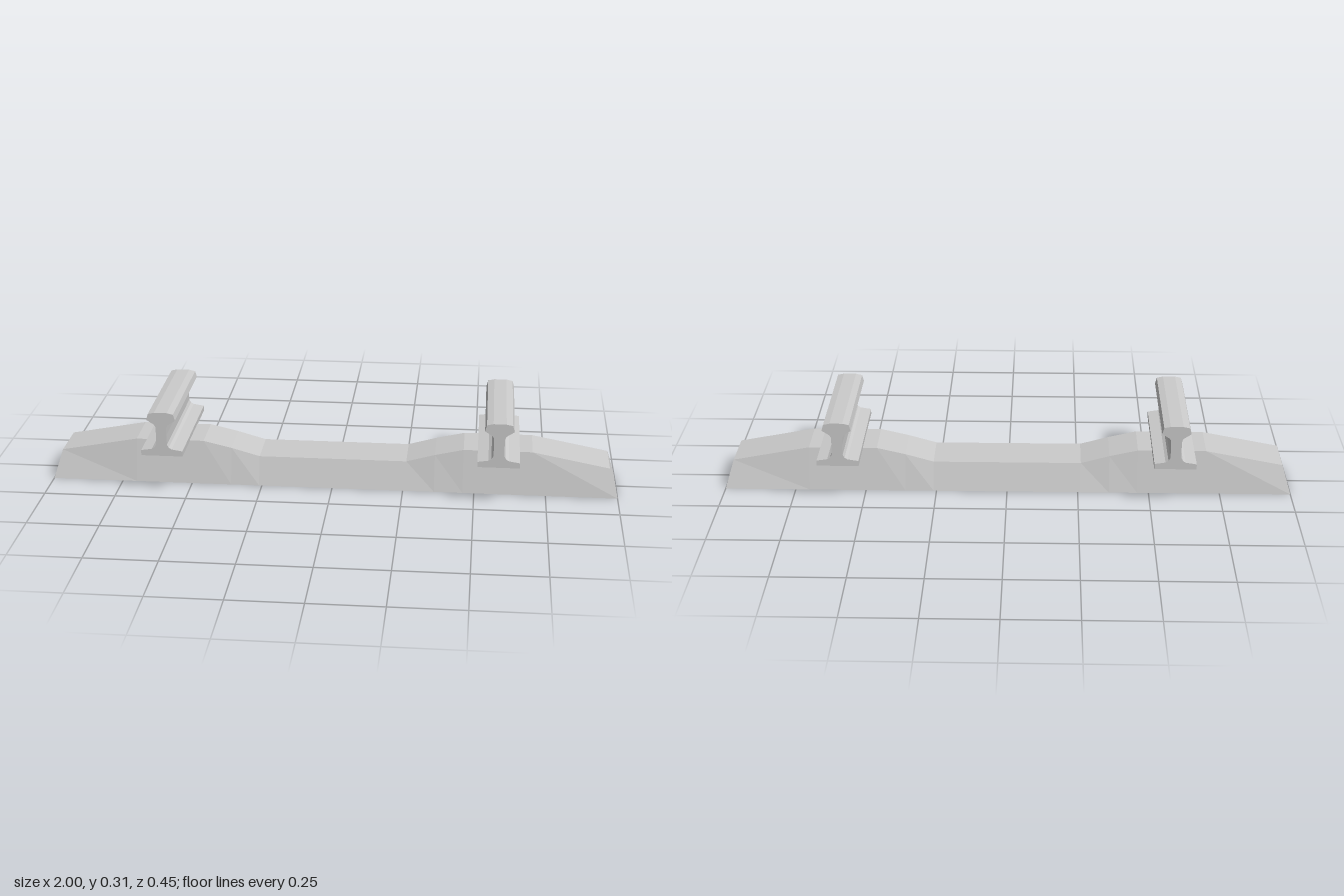
import * as THREE from 'three';

const material = new THREE.MeshStandardMaterial({ color: 0xcccccc, flatShading: true, side: THREE.DoubleSide });

// Tapered sleeper: four-cornered sections joined along x
function sleeperGeometry() {
  const half = [[0.26, 0.1], [0.36, 0.128], [0.46, 0.151], [0.7, 0.151], [0.97, 0.1]];
  const profile = [...half.map(([x, y]) => [-x, y]).reverse(), ...half];
  const last = profile.length - 1;
  const positions = [], index = [];
  profile.forEach(([x, y], i) => {
    const foot = i === 0 || i === last ? Math.sign(x) : x; // sloped end faces
    positions.push(foot, 0, 0.112, foot, 0, -0.112, x, y, -0.082, x, y, 0.082);
  });
  for (let i = 0; i < last; i++) {
    for (let k = 0; k < 4; k++) {
      const a = i * 4 + k, b = i * 4 + (k + 1) % 4;
      index.push(a, b, b + 4, a, b + 4, a + 4);
    }
  }
  // End caps
  const e = last * 4;
  index.push(0, 3, 2, 0, 2, 1, e, e + 1, e + 2, e, e + 2, e + 3);
  const geometry = new THREE.BufferGeometry();
  geometry.setAttribute('position', new THREE.Float32BufferAttribute(positions, 3));
  geometry.setIndex(index);
  const flat = geometry.toNonIndexed();
  flat.computeVertexNormals();
  return flat;
}

// Rail: mirrored half profile of foot, web and head, extruded along z
function railGeometry() {
  const half = [
    [0.0725, 0.148], [0.0725, 0.167], [0.035, 0.173], [0.025, 0.179], [0.019, 0.19],
    [0.018, 0.225], [0.019, 0.255], [0.024, 0.263], [0.05, 0.28], [0.044, 0.302], [0.022, 0.307],
  ];
  const outline = [...half, ...half.map(([x, y]) => [-x, y]).reverse()];
  const shape = new THREE.Shape(outline.map(([x, y]) => new THREE.Vector2(x, y)));
  const depth = 0.452;
  return new THREE.ExtrudeGeometry(shape, { depth, bevelEnabled: false }).translate(0, 0, -depth / 2);
}

export function createModel() {
  const model = new THREE.Group();
  model.name = 'railwayTrackSection';

  const sleeper = new THREE.Mesh(sleeperGeometry(), material);
  sleeper.name = 'sleeper';
  model.add(sleeper);

  const geometry = railGeometry();
  for (const [name, side] of [['leftRail', 1], ['rightRail', -1]]) {
    const rail = new THREE.Mesh(geometry, material);
    rail.name = name;
    rail.position.x = side * 0.582;
    model.add(rail);
  }
  return model;
}
